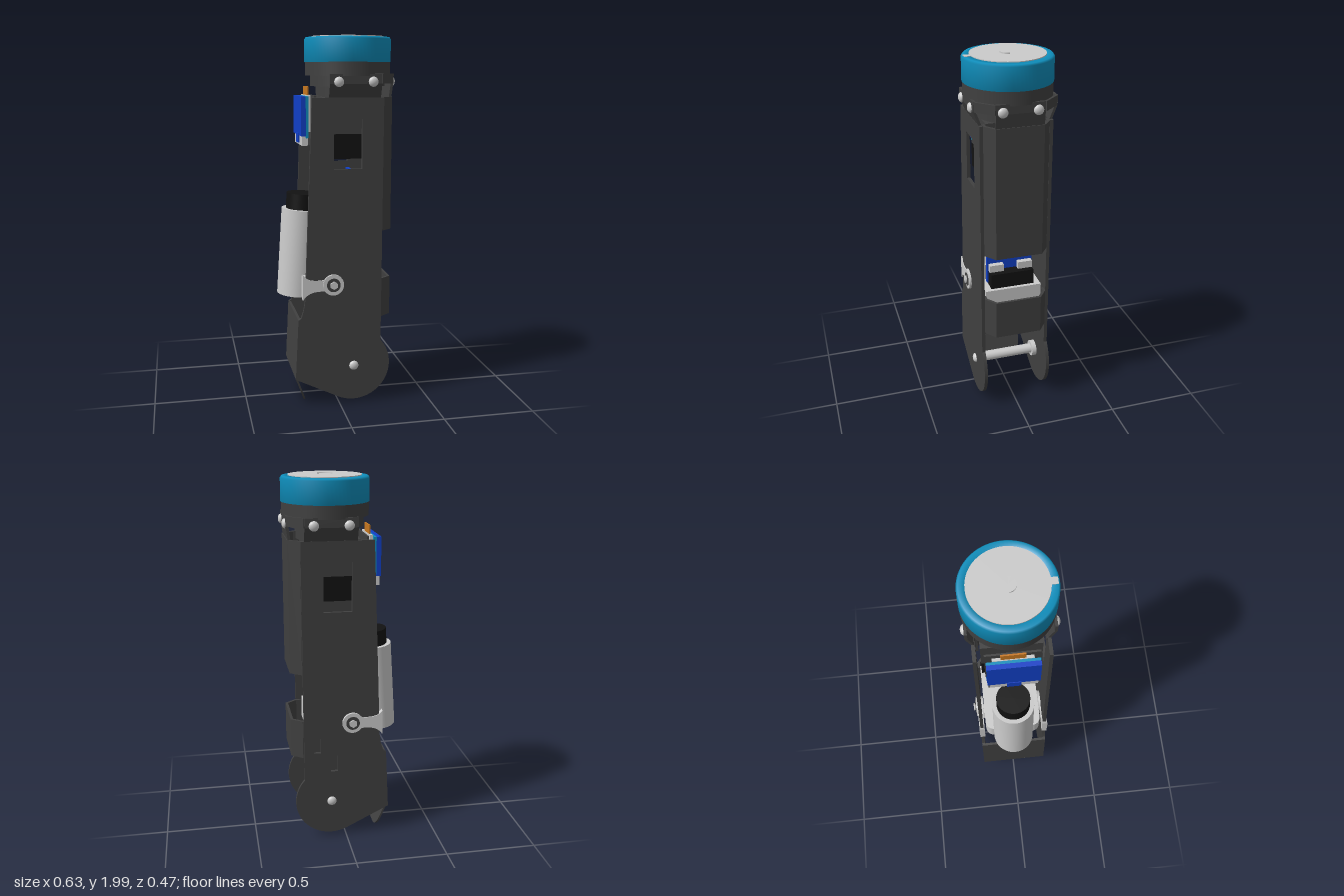
import * as THREE from 'three';

const mat = (color) => new THREE.MeshStandardMaterial({ color, side: THREE.DoubleSide });
const GREY = mat(0xcccccc), DARK = mat(0x404040), BLACK = mat(0x121212);
const TEAL = mat(0x0f8fbd), BLUE = mat(0x1140c8), ORANGE = mat(0xc87820);
const AXIS = 0.08; // x of the round head and the pivot

export function createModel() {
  const root = new THREE.Group();

  const add = (name, geo, m, x = 0, y = 0, z = 0) => {
    const mesh = new THREE.Mesh(geo, m);
    mesh.name = name;
    mesh.position.set(x, y, z);
    root.add(mesh);
    return mesh;
  };
  const box = (name, m, x0, x1, y0, y1, z0, z1) =>
    add(name, new THREE.BoxGeometry(x1 - x0, y1 - y0, z1 - z0), m, (x0 + x1) / 2, (y0 + y1) / 2, (z0 + z1) / 2);
  const discY = (name, m, r, y0, y1, x = AXIS, z = 0) =>
    add(name, new THREE.CylinderGeometry(r, r, y1 - y0, 64), m, x, (y0 + y1) / 2, z);
  const rodZ = (name, m, r, x, y, z0, z1, sides = 32) => {
    const geo = new THREE.CylinderGeometry(r, r, Math.abs(z1 - z0), sides).rotateX(Math.PI / 2);
    return add(name, geo, m, x, y, (z0 + z1) / 2);
  };
  const poly = (pts) => new THREE.Shape(pts.map(([x, y]) => new THREE.Vector2(x, y)));
  const hole = (shape, x0, x1, y0, y1) =>
    shape.holes.push(new THREE.Path([[x0, y0], [x0, y1], [x1, y1], [x1, y0]].map(([x, y]) => new THREE.Vector2(x, y))));
  const extrude = (shape, depth) =>
    new THREE.ExtrudeGeometry(shape, { depth, bevelEnabled: false, curveSegments: 24 });
  // Domed screw head whose dome points along dir
  const screw = (x, y, z, dir) => {
    const geo = new THREE.SphereGeometry(0.026, 20, 8, 0, Math.PI * 2, 0, Math.PI / 2).scale(1, 0.65, 1);
    add('screwHead', geo, GREY, x, y, z).quaternion.setFromUnitVectors(new THREE.Vector3(0, 1, 0), dir);
  };

  // Side plates: tall tapered sheet with a round lower end
  for (const s of [1, -1]) {
    const side = new THREE.Shape();
    side.moveTo(-0.145, 1.68);
    side.lineTo(0.235, 1.68);
    side.lineTo(0.23, 0.361);
    side.absarc(AXIS, 0.23, 0.2, 0.72, -2.04, true);
    side.lineTo(-0.242, 0.165);
    side.lineTo(-0.225, 0.5);
    side.lineTo(-0.21, 0.51);
    side.quadraticCurveTo(-0.18, 0.58, -0.182, 0.73);
    side.closePath();
    hole(side, -0.03, 0.12, 1.31, 1.57);
    if (s < 0) {
      hole(side, 0.045, 0.085, 0.405, 0.5);
      hole(side, 0.14, 0.175, 0.52, 0.605);
    }
    add('sidePlate', extrude(side, 0.018), DARK, 0, 0, s > 0 ? 0.172 : -0.19);

    // Motor bracket ear with its boss
    const ear = new THREE.Shape();
    ear.moveTo(-0.2, 0.75);
    ear.quadraticCurveTo(-0.17, 0.705, -0.08, 0.72);
    ear.lineTo(-0.035, 0.745);
    ear.lineTo(-0.035, 0.63);
    ear.lineTo(-0.08, 0.655);
    ear.quadraticCurveTo(-0.17, 0.665, -0.2, 0.61);
    ear.closePath();
    add('bracketEar', extrude(ear, 0.03), GREY, 0, 0, s > 0 ? 0.166 : -0.196);
    rodZ('bracketBoss', GREY, 0.057, -0.035, 0.69, s * 0.16, s * 0.203);
    rodZ('bracketBolt', DARK, 0.037, -0.035, 0.69, s * 0.2, s * 0.207);
    rodZ('bracketBoltHead', GREY, 0.022, -0.035, 0.69, s * 0.2, s * 0.217, 6);

    // Pivot washer and screw
    rodZ('pivotWasher', GREY, 0.045, AXIS, 0.225, s * 0.142, s * 0.168);
    screw(AXIS, 0.225, s * 0.19, new THREE.Vector3(0, 0, s));
  }
  rodZ('pivotRod', GREY, 0.028, AXIS, 0.225, -0.17, 0.17);

  // Folded channel strips on the +x side
  const channel = poly([[0.2, 0.171], [0.235, 0.171], [0.295, 0.125], [0.295, -0.125], [0.235, -0.171], [0.2, -0.171],
    [0.2, -0.157], [0.23, -0.157], [0.281, -0.118], [0.281, 0.118], [0.23, 0.157], [0.2, 0.157]]);
  for (const [name, y0, y1] of [['upperChannel', 0.97, 1.68], ['lowerChannel', 0.49, 0.705]])
    add(name, extrude(channel, y1 - y0).rotateX(-Math.PI / 2), DARK, 0, y0, 0);

  // Panel at the foot with a rounded, inward-bent tip
  const foot = poly([[-0.225, 0.5], [-0.242, 0.165], [-0.228, 0.165], [-0.211, 0.5]]);
  add('footPanel', extrude(foot, 0.344), DARK, 0, 0, -0.172);
  const tip = new THREE.Shape();
  tip.moveTo(-0.165, 0);
  tip.lineTo(-0.16, -0.08);
  tip.quadraticCurveTo(-0.155, -0.165, -0.085, -0.165);
  tip.lineTo(0.085, -0.165);
  tip.quadraticCurveTo(0.155, -0.165, 0.16, -0.08);
  tip.lineTo(0.165, 0);
  tip.closePath();
  const tipGeo = extrude(tip, 0.01).rotateY(Math.PI / 2).rotateZ(0.35);
  add('footTip', tipGeo, DARK, -0.242, 0.166, 0);

  // Bent tabs that join the body to the head, with two screws each
  const tabs = [[0, 0.181, 0.216], [Math.PI / 2, 0.208, 0.22], [Math.PI, 0.181, 0.216]];
  for (const [turn, low, high] of tabs) {
    const profile = poly([[low, 1.66], [high, 1.75], [high, 1.8], [high - 0.014, 1.8], [high - 0.014, 1.75], [low - 0.014, 1.66]]);
    const half = turn === Math.PI / 2 ? 0.125 : 0.137;
    const geo = extrude(profile, half * 2).translate(0, 0, -half).rotateY(turn - Math.PI / 2);
    add('headTab', geo, DARK, AXIS, 0, 0);
    const out = new THREE.Vector3(Math.sin(turn), 0, Math.cos(turn));
    for (const k of [-0.09, 0.09])
      screw(AXIS + out.x * high + out.z * k, 1.76, out.z * high + out.x * k, out);
  }
  for (const s of [1, -1]) // corner webs between the tabs
    box('cornerWeb', DARK, 0.2, 0.317, 1.75, 1.8, -0.006, 0.006)
      .position.set(0.256, 1.775, s * 0.168);
  root.children.filter((c) => c.name === 'cornerWeb')
    .forEach((c) => { c.rotation.y = Math.sign(c.position.z) * 0.81; });

  // Round head
  discY('headCore', DARK, 0.155, 1.67, 1.74);
  discY('headCollar', DARK, 0.2, 1.735, 1.8);
  discY('headSkirt', DARK, 0.227, 1.79, 1.86);
  const ring = [[0.19, 1.86], [0.23, 1.86], [0.23, 1.978], [0.222, 1.988], [0.192, 1.99], [0.19, 1.97], [0.19, 1.86]];
  add('headRing', new THREE.LatheGeometry(ring.map(([r, y]) => new THREE.Vector2(r, y)), 72), TEAL, AXIS, 0, 0);
  discY('headDisc', GREY, 0.191, 1.86, 1.994);
  box('discNotch', GREY, AXIS - 0.018, AXIS + 0.018, 1.97, 1.992, 0.18, 0.222);
  const dimple = new THREE.CylinderGeometry(0.04, 0.04, 0.012, 32, 1, false, -Math.PI / 2, Math.PI);
  add('discMark', dimple, GREY, AXIS, 1.994, 0);

  // Screen on the -x side
  box('screenFace', BLUE, -0.193, -0.168, 1.48, 1.685, -0.13, 0.13);
  box('screenBoard', TEAL, -0.168, -0.154, 1.47, 1.685, -0.13, 0.13);
  box('screenLip', GREY, -0.188, -0.156, 1.43, 1.48, -0.12, 0.12);
  box('screenTab', BLUE, -0.196, -0.186, 1.44, 1.49, -0.035, 0.035);
  box('screenBacking', GREY, -0.154, -0.138, 1.5, 1.69, -0.1, 0.1);
  box('screenFrame', DARK, -0.126, -0.116, 1.42, 1.69, -0.135, 0.135);
  box('screenRibbon', ORANGE, -0.15, -0.142, 1.64, 1.735, -0.06, 0.06);

  // Motor: a slightly leaning can with a black cap
  const motor = new THREE.Group();
  motor.name = 'motor';
  motor.position.set(-0.2, 0.605, 0);
  motor.rotation.z = -0.065;
  for (const [name, r, y0, y1, m] of [['motorCan', 0.113, 0, 0.475, GREY], ['motorCap', 0.09, 0.475, 0.56, BLACK]]) {
    const part = new THREE.Mesh(new THREE.CylinderGeometry(r, r, y1 - y0, 48), m);
    part.name = name;
    part.position.y = (y0 + y1) / 2;
    motor.add(part);
  }
  root.add(motor);

  // Rounded bracket block between the plates
  const block = new THREE.Shape();
  block.moveTo(0.2, -0.157);
  block.lineTo(0.2, 0.157);
  block.lineTo(-0.14, 0.157);
  block.quadraticCurveTo(-0.195, 0.157, -0.195, 0.1);
  block.lineTo(-0.195, -0.1);
  block.quadraticCurveTo(-0.195, -0.157, -0.14, -0.157);
  block.closePath();
  add('bracketBlock', extrude(block, 0.12).rotateX(-Math.PI / 2), GREY, 0, 0.61, 0);
  box('bracketFoot', DARK, 0.1, 0.22, 0.45, 0.61, -0.07, 0.07);

  // Electronics inside
  box('circuitBoard', BLUE, 0.1, 0.12, 0.74, 1.28, -0.128, 0.128);
  box('terminalBlock', BLACK, 0.06, 0.18, 0.73, 0.815, -0.12, 0.12);
  for (const s of [1, -1]) box('connector', GREY, 0.12, 0.15, 0.815, 0.855, s * 0.08 - 0.04, s * 0.08 + 0.04);
  box('innerPack', BLACK, -0.08, 0.2, 1.36, 1.49, -0.15, 0.15);
  box('innerHousing', DARK, -0.08, 0.2, 1.49, 1.68, -0.15, 0.15);
  return root;
}
